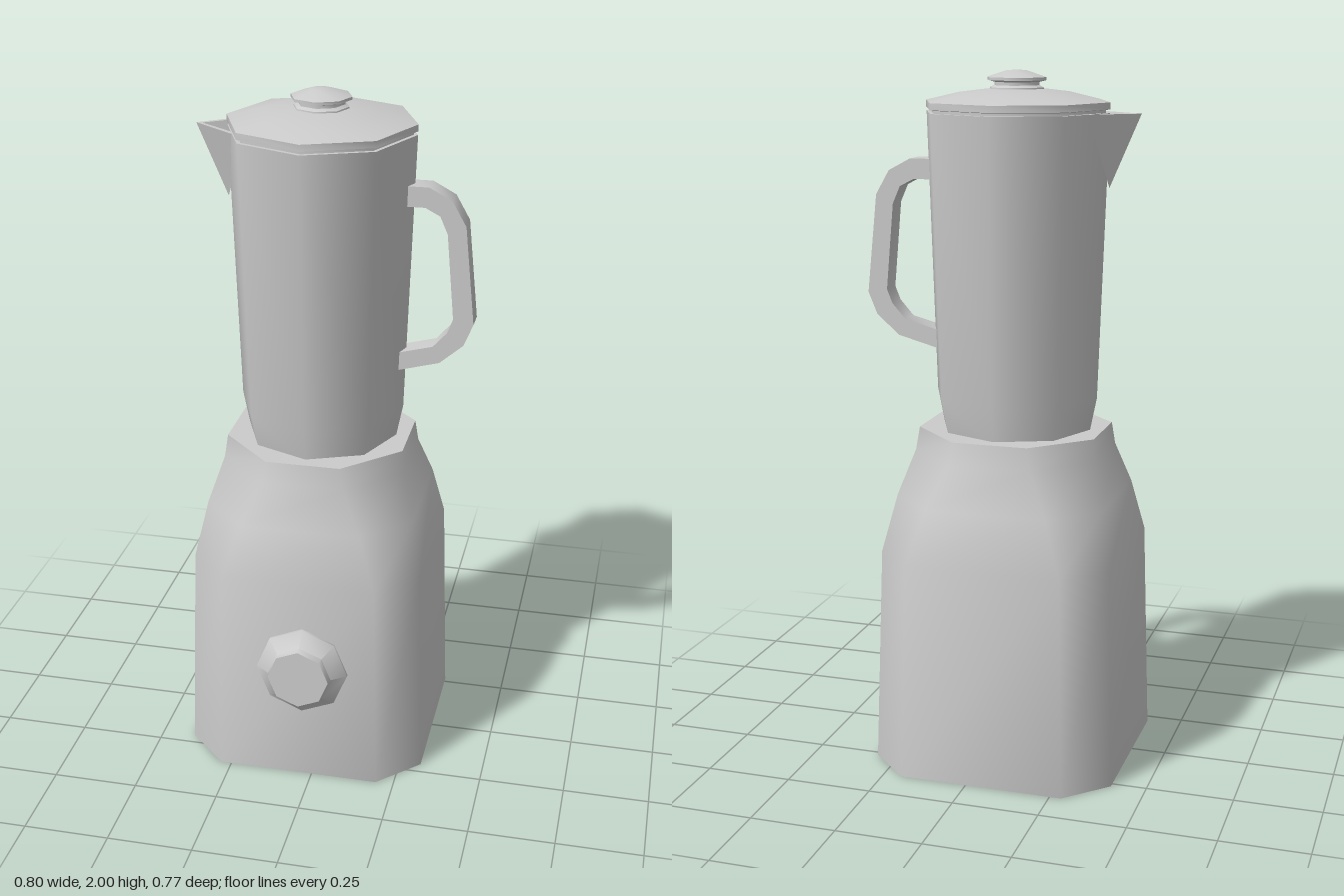
import * as THREE from 'three';
import { toCreasedNormals } from 'three/addons/utils/BufferGeometryUtils.js';

const CX = -0.043, CZ = -0.027; // axis of the body and jug

function addMesh(group, name, geometry, crease = 0.9, side = THREE.FrontSide) {
  const material = new THREE.MeshStandardMaterial({ color: 0xcccccc, side });
  const mesh = new THREE.Mesh(toCreasedNormals(geometry, crease), material);
  mesh.name = name;
  group.add(mesh);
  return mesh;
}

// Eight-sided turned part from [radius, height] pairs
function turned(profile) {
  return new THREE.LatheGeometry(profile.map(([r, y]) => new THREE.Vector2(r, y)), 8);
}

// Stack of chamfered squares: [y, half width, half length of the straight side]
function chamferedLoft(levels) {
  const pos = [], index = [];
  for (const [y, h, s] of levels) {
    const ring = [[s, h], [h, s], [h, -s], [s, -h], [-s, -h], [-h, -s], [-h, s], [-s, h]];
    for (const [x, z] of ring) pos.push(x, y, z);
  }
  for (let l = 0; l < levels.length - 1; l++) {
    for (let i = 0; i < 8; i++) {
      const a = l * 8 + i, b = l * 8 + (i + 1) % 8;
      index.push(a, b, b + 8, a, b + 8, a + 8);
    }
  }
  const top = (levels.length - 1) * 8;
  for (let i = 1; i < 7; i++) index.push(0, i + 1, i, top, top + i, top + i + 1);
  const g = new THREE.BufferGeometry();
  g.setAttribute('position', new THREE.Float32BufferAttribute(pos, 3));
  g.setIndex(index);
  return g;
}

// Open V-shaped pouring lip with a rim thickness
function spoutGeometry() {
  const p = [
    [-0.4, 1.885, CZ], [-0.272, 1.885, CZ - 0.098], [-0.272, 1.885, CZ + 0.098], [-0.312, 1.68, CZ],
    [-0.382, 1.885, CZ], [-0.272, 1.885, CZ - 0.08], [-0.272, 1.885, CZ + 0.08], [-0.308, 1.72, CZ],
  ];
  const g = new THREE.BufferGeometry();
  g.setAttribute('position', new THREE.Float32BufferAttribute(p.flat(), 3));
  g.setIndex([
    0, 1, 3, 0, 3, 2, // outside
    4, 7, 5, 4, 6, 7, // inside
    0, 4, 5, 0, 5, 1, 0, 2, 6, 0, 6, 4, // rim
  ]);
  return g;
}

export function createModel() {
  const blender = new THREE.Group();
  blender.name = 'blender';

  // Motor base
  const base = addMesh(blender, 'motorBase', chamferedLoft([
    [0, 0.357, 0.24], [0.635, 0.338, 0.225], [0.795, 0.306, 0.175],
    [0.92, 0.268, 0.12], [0.985, 0.26, 0.108],
  ]));
  base.position.set(CX, 0, CZ);

  // Jug
  const jug = addMesh(blender, 'jug', turned([
    [0, 0.975], [0.22, 0.975], [0.241, 1.08], [0.268, 1.885], [0, 1.885],
  ]));
  jug.position.set(CX, 0, CZ);

  // Lid with its knob
  const lid = addMesh(blender, 'lid', turned([
    [0, 1.885], [0.256, 1.885], [0.256, 1.893], [0.269, 1.895], [0.269, 1.914], [0.17, 1.937], [0.08, 1.948], [0, 1.95],
  ]));
  lid.position.set(CX, 0, CZ);
  const knob = addMesh(blender, 'lidKnob', turned([
    [0.08, 1.94], [0.078, 1.952], [0.066, 1.958], [0.066, 1.967],
    [0.086, 1.972], [0.086, 1.98], [0.03, 1.998], [0, 2.0],
  ]), 0.8);
  knob.position.set(CX, 0, CZ);

  addMesh(blender, 'spout', spoutGeometry(), 0.5, THREE.DoubleSide);

  // Handle
  const outline = [
    [0.2, 1.75], [0.265, 1.75], [0.33, 1.715], [0.37, 1.645], [0.399, 1.36],
    [0.372, 1.295], [0.305, 1.237], [0.18, 1.203], [0.18, 1.257], [0.285, 1.285],
    [0.325, 1.33], [0.341, 1.37], [0.319, 1.62], [0.297, 1.67], [0.255, 1.692], [0.2, 1.692],
  ].map(([x, y]) => new THREE.Vector2(x, y));
  const handle = addMesh(blender, 'handle', new THREE.ExtrudeGeometry(new THREE.Shape(outline), {
    depth: 0.068, bevelEnabled: false,
  }), 0.6);
  handle.position.z = CZ - 0.034;

  // Control dial, leaning with the front wall
  const dial = addMesh(blender, 'controlDial', turned([
    [0, -0.02], [0.136, -0.005], [0.136, 0.002], [0.094, 0.034], [0.09, 0.054], [0, 0.054],
  ]), 0.8);
  dial.position.set(-0.027, 0.363, 0.329);
  dial.rotation.x = Math.PI / 2 - 0.03;

  return blender;
}
